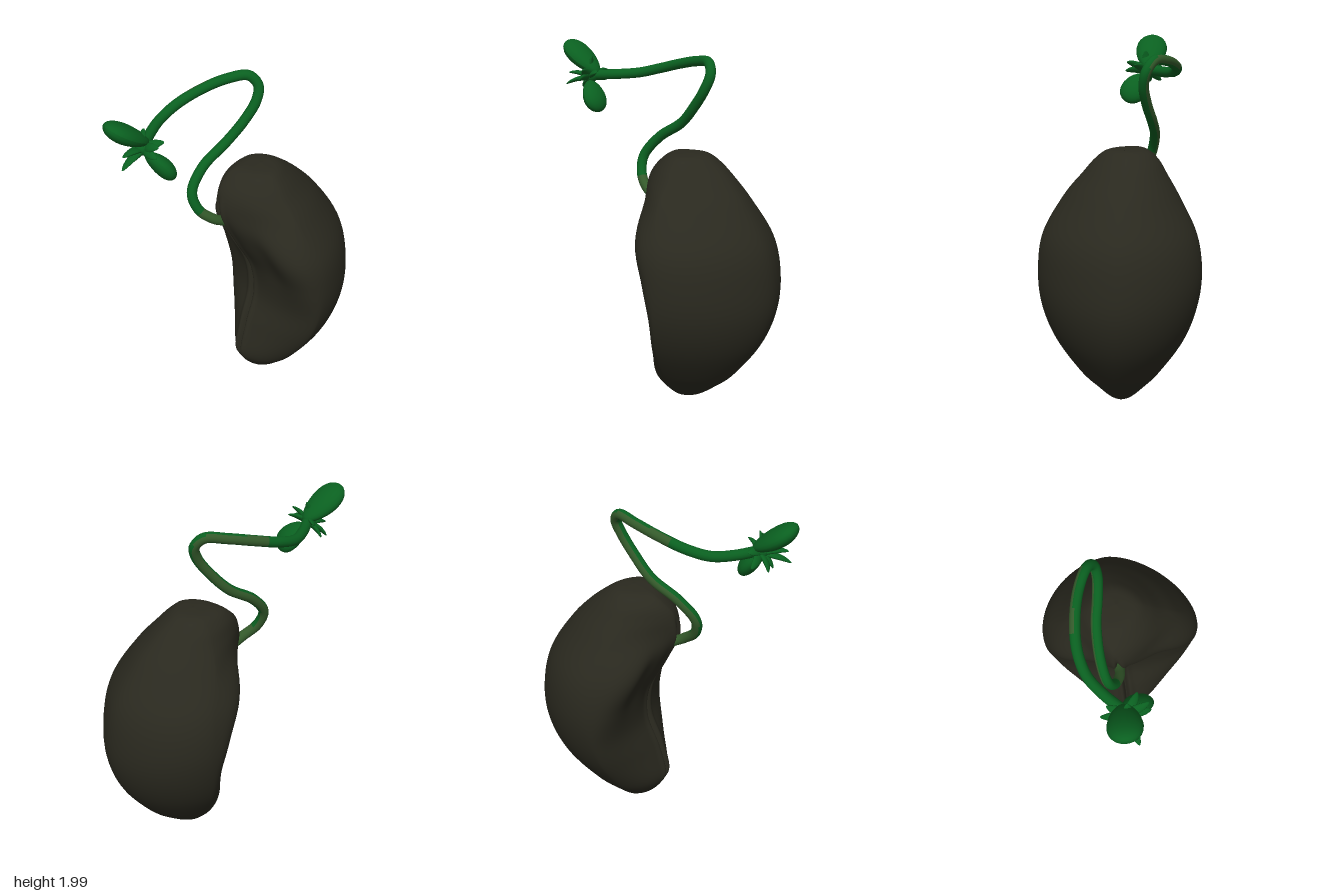
import * as THREE from 'three';

const V = (x, y, z) => new THREE.Vector3(x, y, z);
const paint = (name, color) => {
  const m = new THREE.MeshStandardMaterial({ color });
  m.name = name;
  return m;
};

// Seed levels: y, x min, x max, z front, z at widest, z back, cheek fullness at -x, at +x
const LEVELS = [
  [0.008, -0.01, -0.01, -0.2, -0.2, -0.2, 1.7, 1.7],
  [0.025, -0.07, 0.06, -0.12, -0.2, -0.28, 1.7, 1.7],
  [0.1, -0.15, 0.145, -0.045, -0.2, -0.39, 1.65, 1.65],
  [0.2, -0.235, 0.24, -0.005, -0.22, -0.505, 1.55, 1.5],
  [0.4, -0.362, 0.37, -0.05, -0.26, -0.655, 1.55, 1.45],
  [0.6, -0.433, 0.44, -0.115, -0.29, -0.73, 2.0, 1.75],
  [0.8, -0.458, 0.455, -0.1, -0.3, -0.735, 2.9, 2.4],
  [1.0, -0.43, 0.425, -0.005, -0.28, -0.69, 2.9, 2.4],
  [1.2, -0.335, 0.31, 0.085, -0.22, -0.565, 1.5, 1.5],
  [1.32, -0.265, 0.21, 0.075, -0.2, -0.46, 1.5, 1.6],
  [1.4, -0.215, 0.14, 0.02, -0.19, -0.37, 1.7, 1.7],
  [1.45, -0.15, 0.07, -0.06, -0.19, -0.29, 1.8, 1.8],
  [1.462, -0.04, -0.04, -0.19, -0.19, -0.19, 1.8, 1.8],
];

// Bean-shaped seed with full cheeks and a lengthwise crease in front
function seedGeometry() {
  const spline = (a, b, c) => new THREE.CatmullRomCurve3(LEVELS.map(l => V(l[a], l[b], l[c])), false, 'catmullrom');
  const outline = spline(1, 0, 2), depth = spline(3, 4, 5), cheeks = spline(6, 7, 0);
  const rows = 84, cols = 112, pos = [], index = [];
  for (let i = 0; i <= rows; i++) {
    const o = outline.getPoint(i / rows), d = depth.getPoint(i / rows), full = cheeks.getPoint(i / rows);
    const y = o.y, cx = (o.x + o.z) / 2, w = Math.max((o.z - o.x) / 2, 0);
    const creaseX = -0.01 - 0.07 * Math.pow(THREE.MathUtils.clamp((y - 0.2) / 1.0, 0, 1.2), 2);
    const uc = w > 0.06 ? THREE.MathUtils.clamp((creaseX - cx) / w, -0.5, 0.5) : 0;
    const fade = THREE.MathUtils.smoothstep(y, 0.1, 0.22) * (1 - THREE.MathUtils.smoothstep(y, 1.15, 1.34));
    const hollow = 0.03 * Math.exp(-Math.pow((y - 0.98) / 0.2, 2));
    for (let j = 0; j < cols; j++) {
      const s = -1 + 2 * j / cols;
      const a = Math.asin(uc) + Math.PI * s * Math.pow(Math.abs(s), 0.6);
      const u = Math.sin(a), x = cx + w * u;
      let z = d.y + 0.1 * w * u;
      if (Math.cos(a) > 0) {
        const v = Math.abs(u - uc) / (u < uc ? 1 + uc : 1 - uc);
        const p = u < uc ? full.x : full.y;
        z += (d.x - d.y) * Math.pow(Math.max(1 - Math.pow(v, p), 0), 1 / p);
        z -= hollow * Math.exp(-Math.pow((v - 0.48) / 0.22, 2));
        const g = Math.abs(x - creaseX);
        z += fade * (0.01 * Math.exp(-Math.pow((g - 0.03) / 0.015, 2)) - 0.035 * Math.exp(-Math.pow(g / 0.011, 2)));
      } else {
        z += (d.z - d.y) * Math.pow(Math.max(1 - Math.pow(Math.abs(u), 1.7), 0), 0.58);
      }
      pos.push(x, y, z);
      if (i < rows) {
        const k = (j + 1) % cols, p = i * cols + j, q = i * cols + k;
        index.push(p, q, q + cols, p, q + cols, p + cols);
      }
    }
  }
  const geo = new THREE.BufferGeometry();
  geo.setAttribute('position', new THREE.Float32BufferAttribute(pos, 3));
  geo.setIndex(index);
  geo.computeVertexNormals();
  return geo;
}

// Looping stem; olive at the root and along its outer side
function stemGeometry() {
  const path = new THREE.CatmullRomCurve3([
    V(-0.07, 1.14, 0.03), V(-0.082, 1.19, 0.12), V(-0.125, 1.26, 0.19), V(-0.165, 1.36, 0.203),
    V(-0.186, 1.48, 0.11), V(-0.175, 1.585, -0.045), V(-0.145, 1.7, -0.15), V(-0.13, 1.81, -0.225),
    V(-0.145, 1.89, -0.25), V(-0.185, 1.945, -0.215), V(-0.245, 1.935, -0.11), V(-0.29, 1.9, 0.03),
    V(-0.308, 1.855, 0.18), V(-0.285, 1.82, 0.31), V(-0.22, 1.81, 0.42), V(-0.13, 1.81, 0.53),
  ]);
  const along = 140, around = 14;
  const geo = new THREE.TubeGeometry(path, along, 0.029, around, false);
  const normal = geo.attributes.normal, src = geo.index.array, green = [], olive = [];
  for (let f = 0; f < src.length; f += 6) {
    const t = Math.floor(f / 6 / around) / along;
    const nx = normal.getX(src[f]);
    const list = t < 0.1 || (t < 0.75 && nx < -0.55) ? olive : green;
    for (let k = 0; k < 6; k++) list.push(src[f + k]);
  }
  geo.setIndex(green.concat(olive));
  geo.addGroup(0, green.length, 0);
  geo.addGroup(green.length, olive.length, 1);
  return geo;
}

// Fleshy leaf from base to tip; taper > 0 broadens the tip, < 0 narrows it
function leafGeometry(base, tip, width, thick, facing, taper, bend) {
  const geo = new THREE.SphereGeometry(1, 20, 14);
  const p = geo.attributes.position;
  const dir = tip.clone().sub(base), half = dir.length() / 2;
  dir.normalize();
  const side = dir.clone().cross(facing).normalize();
  const out = side.clone().cross(dir);
  for (let i = 0; i < p.count; i++) {
    const y = p.getY(i), k = 1 + taper * y;
    p.setXYZ(i, p.getX(i) * width * k, y * half, p.getZ(i) * thick * k + bend * y * y);
  }
  geo.applyMatrix4(new THREE.Matrix4().makeBasis(side, dir, out).setPosition(base.clone().add(tip).multiplyScalar(0.5)));
  geo.computeVertexNormals();
  return geo;
}

export function createModel() {
  const shell = paint('dark seed shell', 0x2a291f);
  const green = paint('leaf green', 0x0a6020);
  const olive = paint('olive stem', 0x345a2b);
  const group = new THREE.Group();
  const add = (name, geo, mat) => {
    const mesh = new THREE.Mesh(geo, mat);
    mesh.name = name;
    group.add(mesh);
  };

  add('seed', seedGeometry(), shell);
  add('stem', stemGeometry(), [green, olive]);

  // Two large seed leaves
  add('upperLeaf', leafGeometry(V(-0.135, 1.82, 0.5), V(-0.165, 1.98, 0.735), 0.09, 0.052, V(0, 0.8, -0.6), 0.22, 0.004), green);
  add('lowerLeaf', leafGeometry(V(-0.11, 1.78, 0.53), V(-0.01, 1.632, 0.42), 0.078, 0.048, V(0, -0.6, 0.7), 0.2, 0.006), green);

  // Rosette of small pointed leaflets around the bud
  const bud = V(-0.125, 1.805, 0.54);
  const bulb = new THREE.SphereGeometry(0.04, 16, 12);
  bulb.translate(bud.x, bud.y, bud.z);
  add('bud', bulb, green);
  const tips = [
    V(-0.26, 1.77, 0.53), V(-0.21, 1.74, 0.61), V(-0.09, 1.755, 0.7), V(-0.1, 1.825, 0.68),
    V(-0.01, 1.86, 0.53), V(0.0, 1.805, 0.55), V(-0.12, 1.92, 0.54), V(-0.05, 1.85, 0.46),
    V(-0.145, 1.735, 0.62), V(-0.22, 1.84, 0.5),
  ];
  tips.forEach(tip => add('leaflet', leafGeometry(bud, tip, 0.026, 0.013, V(0.1, 0.6, 0.75), -0.25, -0.012), green));

  return group;
}
